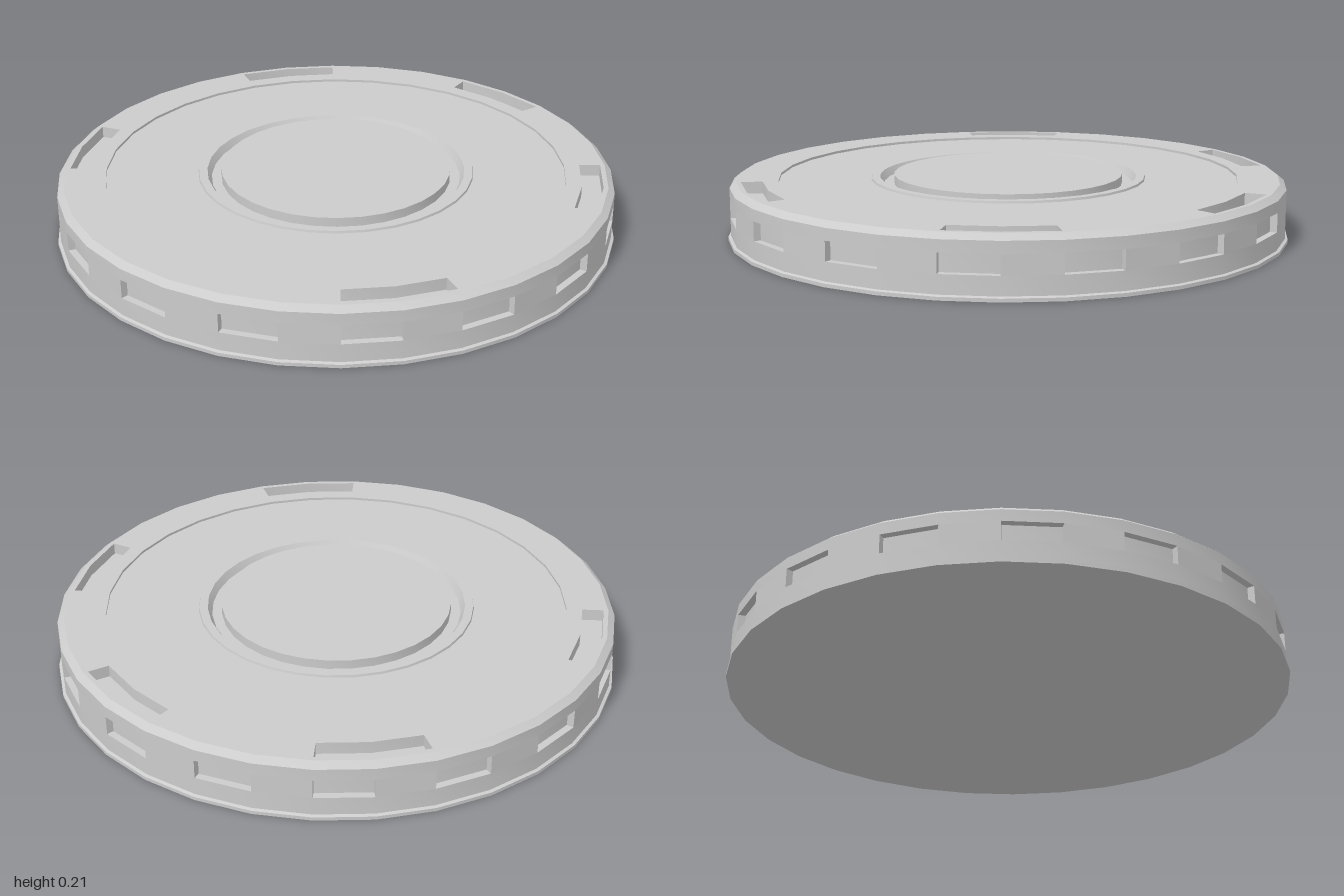
import * as THREE from 'three';
import { toCreasedNormals } from 'three/addons/utils/BufferGeometryUtils.js';

const SIDES = 32;
const STEP = (Math.PI * 2) / SIDES;
const material = new THREE.MeshStandardMaterial({ color: 0xcccccc });

function addMesh(parent, name, geometry) {
  const mesh = new THREE.Mesh(toCreasedNormals(geometry, 0.4), material);
  mesh.name = name;
  parent.add(mesh);
  return mesh;
}

// Turned part from [radius, height] pairs, listed from bottom to top
function turned(profile) {
  return new THREE.LatheGeometry(profile.map(([r, y]) => new THREE.Vector2(r, y)), SIDES);
}

// Ring segment covering facets from..to, counted from +x towards +z
function ringSegment(r0, r1, y0, y1, from, to) {
  const points = [];
  const corner = (r, i) => points.push(new THREE.Vector2(r * Math.cos(i * STEP), -r * Math.sin(i * STEP)));
  for (let i = from; i <= to; i++) corner(r1, i);
  for (let i = to; i >= from; i--) corner(r0, i);
  const geometry = new THREE.ExtrudeGeometry(new THREE.Shape(points), { depth: y1 - y0, bevelEnabled: false });
  geometry.rotateX(-Math.PI / 2);
  geometry.translate(0, y0, 0);
  return geometry;
}

export function createModel() {
  const model = new THREE.Group();
  model.name = 'roundPlatform';

  const rim = 0.99, notchFloor = 0.965, notchLow = 0.08, notchHigh = 0.147;
  const slotIn = 0.875, slotOut = 0.95, slotFloor = 0.165, top = 0.207;

  // Body: foot lip, grooved side, chamfer, slot channel, sunken plate, raised ring, central moat
  addMesh(model, 'body', turned([
    [0, 0], [1, 0], [1, 0.012], [rim, 0.016],
    [rim, notchLow], [notchFloor, notchLow], [notchFloor, notchHigh], [rim, notchHigh],
    [rim, 0.188], [0.967, top],
    [slotOut, top], [slotOut, slotFloor], [slotIn, slotFloor], [slotIn, top],
    [0.82, top], [0.82, 0.198],
    [0.492, 0.198], [0.49, 0.206], [0.46, 0.206], [0.445, 0.18], [0, 0.18],
  ]));

  // Central disc standing in the moat
  addMesh(model, 'centreDisc', turned([[0.41, 0.18], [0.41, 0.213], [0, 0.213]]));

  // Side blocks on every other facet leave the notches between them
  const sideBlocks = new THREE.Group();
  sideBlocks.name = 'sideBlocks';
  for (let i = 0; i < SIDES; i += 2) {
    addMesh(sideBlocks, 'sideBlock', ringSegment(notchFloor, rim, notchLow, notchHigh, i, i + 1));
  }
  model.add(sideBlocks);

  // Top fillers close the channel except for five slots
  const topFillers = new THREE.Group();
  topFillers.name = 'topFillers';
  for (const [from, to] of [[4, 12], [14, 18], [20, 23], [25, 28], [30, 34]]) {
    addMesh(topFillers, 'topFiller', ringSegment(slotIn, slotOut, slotFloor, top, from, to));
  }
  model.add(topFillers);

  return model;
}
